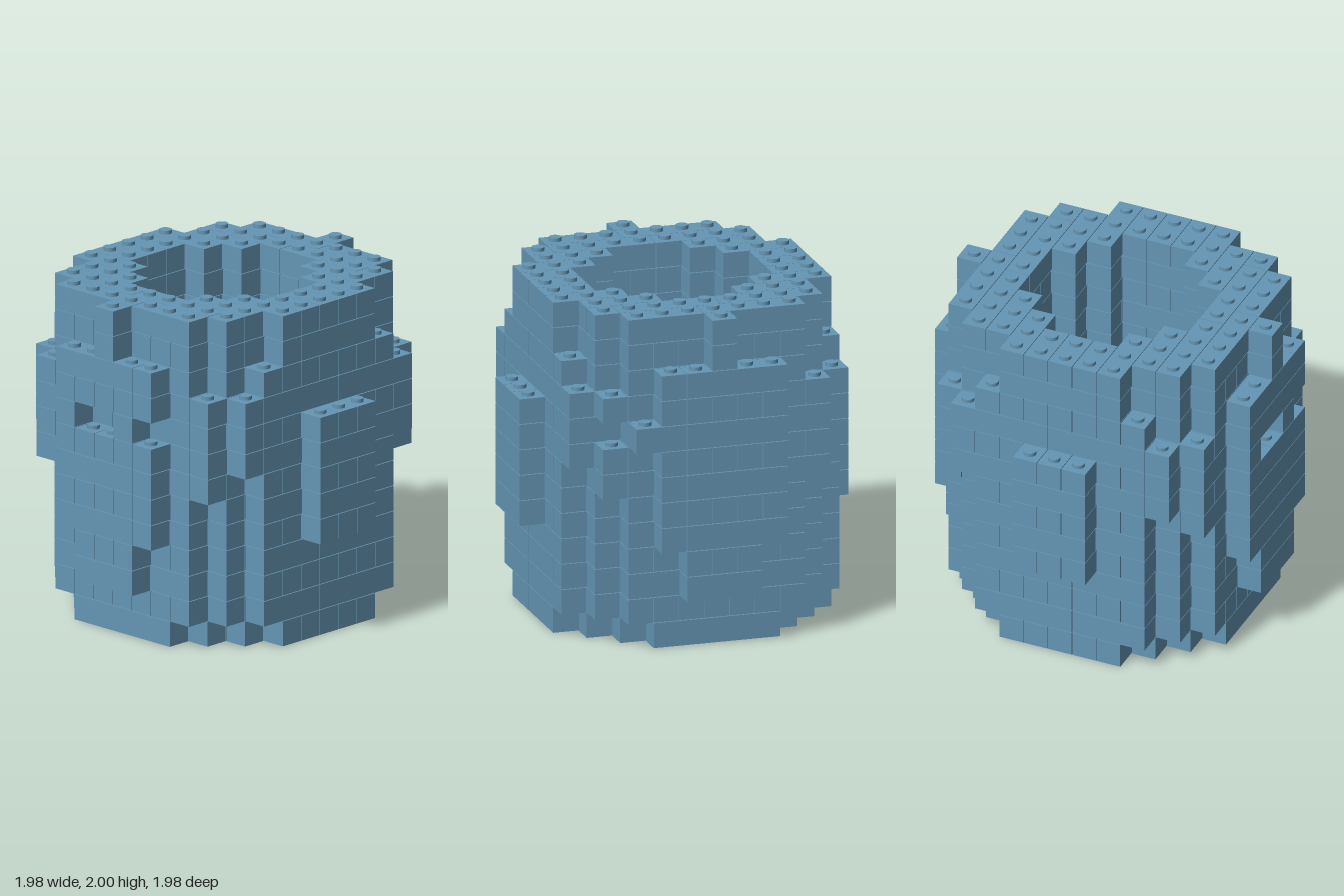
import * as THREE from 'three';
import { mergeGeometries } from 'three/addons/utils/BufferGeometryUtils.js';

const P = 0.1525;         // pitch of the brick grid in all directions
const GAP = 0.004;        // seam between neighbouring bricks
const LAYERS = 13;
const R = 6;              // grid runs from -R to R in x and z

// Half width of the main wall and of the round opening for each |z| row
const WALL = [5, 5, 5, 4, 4, 3];
const BASE = [5, 5, 5, 4, 3, 2];
const HOLE = [3, 3, 2, 1];

// Is there a brick in column (x, z) at this layer?
function filled(x, z, layer) {
  if (layer < 0 || layer >= LAYERS) return false;
  const ax = Math.abs(x), az = Math.abs(z);
  const between = (a, b) => layer >= a && layer <= b;

  // Irregular spots: notches in the front band, one shifted brick at the back
  if (layer === 8) {
    if (z === 6 && (x === -1 || x === 0 || x === 2)) return false;
    if (x === 4 && z === -5) return false;
    if (x === 3 && z === -6) return true;
  }
  // Front and back bands
  if (az === 6) {
    if (ax === 0) return between(2, 12);
    if (ax === 1) return between(2, 10);
    return ax === 2 && between(4, 10);
  }
  // Side bands
  if (ax === 6) return az <= 1 && between(4, 8);
  // Bulging corners
  if (ax === 4 && az === 5) return between(6, 9);
  if (ax === 5 && az === 4) return between(7, 9);
  if (ax === 5 && az === 3) return between(1, 10);
  // Floor, then the hollow wall
  if (layer === 0) return ax <= BASE[az];
  if (az <= 3 && ax <= HOLE[az]) return false;
  return ax <= WALL[az];
}

// Box covering nx by nz cells, starting at cell (x, z)
function brick(x, z, nx, nz, layer) {
  const g = new THREE.BoxGeometry(nx * P - GAP, P - GAP, nz * P - GAP);
  return g.translate(
    (x + (nx - 1) / 2) * P,
    layer * P + (P - GAP) / 2,
    (z + (nz - 1) / 2) * P
  );
}

// Fill one layer with bricks, laid along x or z in alternate layers
function layBricks(layer) {
  const used = new Set();
  const free = (x, z) =>
    Math.abs(x) <= R && Math.abs(z) <= R && filled(x, z, layer) && !used.has(`${x},${z}`);
  const alongX = layer % 2 === 0;
  const maxLength = layer === 0 ? 8 : 4;
  const bricks = [];
  for (let a = -R; a <= R; a++) {
    for (let b = -R; b <= R; b++) {
      const [x, z] = alongX ? [b, a] : [a, b];
      if (!free(x, z)) continue;
      let n = 1;
      while (n < maxLength && (alongX ? free(x + n, z) : free(x, z + n))) n++;
      for (let i = 0; i < n; i++) used.add(alongX ? `${x + i},${z}` : `${x},${z + i}`);
      bricks.push(alongX ? brick(x, z, n, 1, layer) : brick(x, z, 1, n, layer));
    }
  }
  return bricks;
}

// Round studs on every cell that is open above
function placeStuds(layer) {
  const studs = [];
  const h = 0.022;
  for (let x = -R; x <= R; x++) {
    for (let z = -R; z <= R; z++) {
      if (!filled(x, z, layer) || filled(x, z, layer + 1)) continue;
      const g = new THREE.CylinderGeometry(0.037, 0.037, h, 20);
      studs.push(g.translate(x * P, (layer + 1) * P - GAP + h / 2, z * P));
    }
  }
  return studs;
}

export function createModel() {
  const model = new THREE.Group();
  model.name = 'brickBarrel';
  const blue = new THREE.MeshStandardMaterial({ color: 0x6596b4 });
  blue.name = 'dusty blue';

  for (let layer = 0; layer < LAYERS; layer++) {
    const bricks = new THREE.Mesh(mergeGeometries(layBricks(layer)), blue);
    bricks.name = layer === 0 ? 'floorBricks' : `wallBricks${layer}`;
    model.add(bricks);

    const studs = placeStuds(layer);
    if (studs.length) {
      const mesh = new THREE.Mesh(mergeGeometries(studs), blue);
      mesh.name = `studs${layer}`;
      model.add(mesh);
    }
  }
  return model;
}
